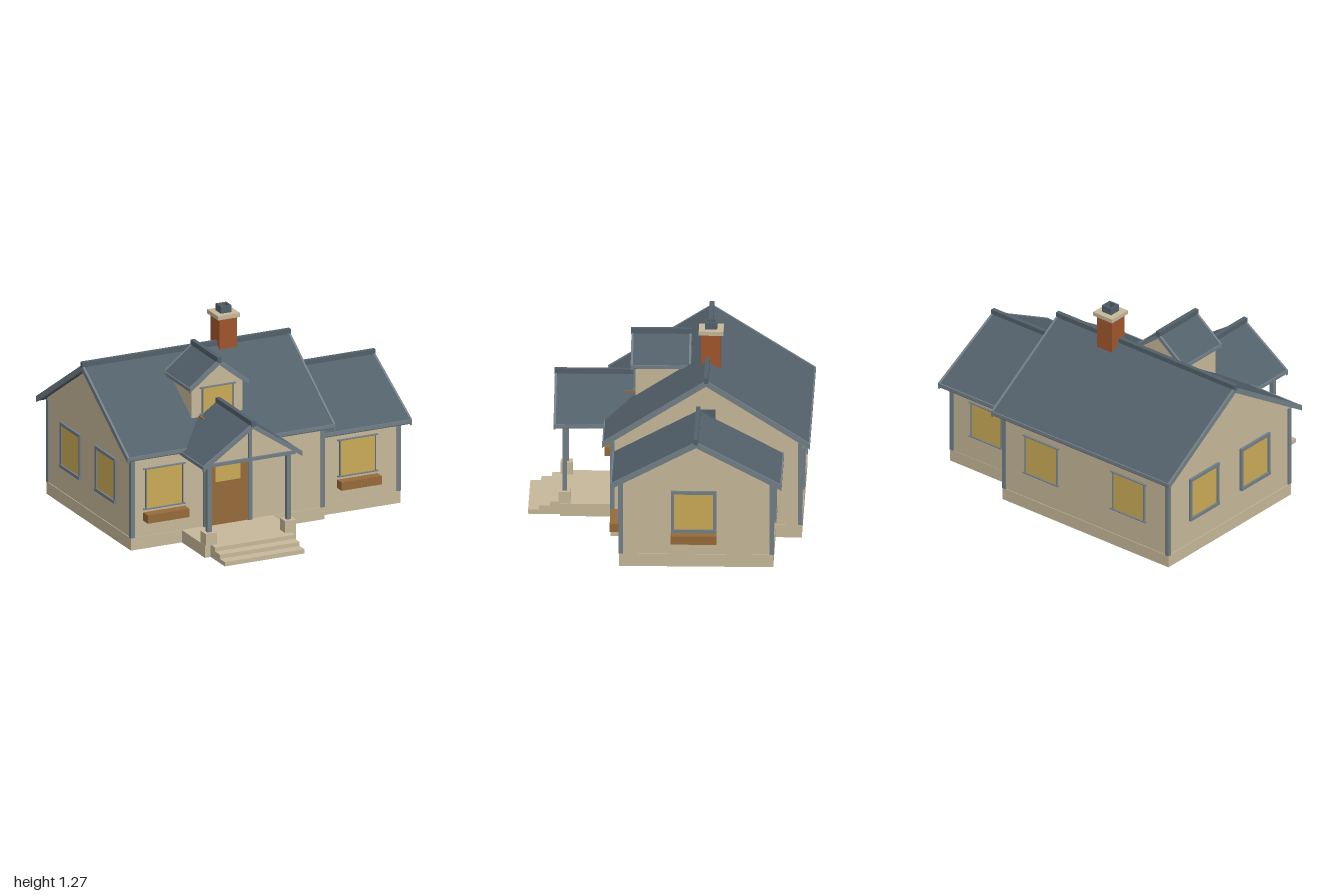
import * as THREE from 'three';

const mat = (name, color) => {
  const m = new THREE.MeshStandardMaterial({ color });
  m.name = name;
  return m;
};

export function createModel() {
  const house = new THREE.Group();
  house.name = 'cottage';
  const stucco = mat('cream stucco', 0xc5b799);
  const slate = mat('slate roof', 0x52606a);
  const trim = mat('grey trim', 0x727e86);
  const glass = mat('warm glass', 0xc9aa56);
  const wood = mat('brown wood', 0x966a38);
  const brick = mat('brick', 0xa0552b);

  const add = (name, geo, material, parent = house) => {
    const m = new THREE.Mesh(geo, material);
    m.name = name;
    parent.add(m);
    return m;
  };
  // box from min/max extents
  const box = (name, material, x0, x1, y0, y1, z0, z1, parent = house) => {
    const m = add(name, new THREE.BoxGeometry(x1 - x0, y1 - y0, z1 - z0), material, parent);
    m.position.set((x0 + x1) / 2, (y0 + y1) / 2, (z0 + z1) / 2);
    return m;
  };
  // symmetric profile extruded from a to b along 'x' or 'z', centred on c across
  const prism = (name, material, points, axis, c, a, b) => {
    const shape = new THREE.Shape(points.map(([x, y]) => new THREE.Vector2(x, y)));
    const geo = new THREE.ExtrudeGeometry(shape, { depth: b - a, bevelEnabled: false });
    geo.translate(0, 0, a);
    if (axis === 'x') geo.rotateY(Math.PI / 2).translate(0, 0, c);
    else geo.translate(c, 0, 0);
    return add(name, geo, material);
  };
  // box given along/across the ridge
  const ridgeBox = (name, material, axis, a, b, y0, y1, c0, c1) =>
    axis === 'x' ? box(name, material, a, b, y0, y1, c0, c1) : box(name, material, c0, c1, y0, y1, a, b);

  // gabled roof: slate chevron, grey rakes at chosen ends, fascias and a ridge cap
  const roof = (name, o) => {
    const { axis, c, a, b, half, eave, apex, t = 0.034, rakes, f0 = a, f1 = b } = o;
    const chevron = (h, up, low) => [
      [-h, eave + up], [-h, eave - low], [0, apex - low], [h, eave - low], [h, eave + up], [0, apex + up]];
    // keep the lower edge directly under the slope
    prism(name + 'Slopes', slate, chevron(half - 0.005, 0, t * 0.8), axis, c, a + 0.004, b - 0.004);
    for (const e of rakes) {
      prism(name + 'Rake', trim, chevron(half, 0.003, t), axis, c, e < 0 ? a : b - 0.014, e < 0 ? a + 0.014 : b);
    }
    for (const s of [-1, 1]) {
      const p = c + s * (half - 0.006);
      ridgeBox(name + 'Fascia', trim, axis, f0, f1, eave - 0.02, eave + 0.002, p - 0.006, p + 0.006);
    }
    ridgeBox(name + 'RidgeCap', slate, axis, a - 0.002, b + 0.002, apex - 0.015, apex + 0.022, c - 0.014, c + 0.014);
  };
  const walls = (name, axis, c, a, b, half, base, eave, apex) =>
    prism(name, stucco, [[-half, base], [half, base], [half, eave], [0, apex], [-half, eave]], axis, c, a, b);

  // plinth, deck and steps
  box('mainFoundation', stucco, -0.947, 0.383, 0, 0.08, -0.822, 0.357);
  box('wingFoundation', stucco, 0.38, 0.937, 0, 0.08, -0.66, 0.29);
  box('porchDeck', stucco, -0.597, 0.027, 0, 0.08, 0.35, 0.678);
  [0.74, 0.807, 0.875].forEach((z, i) =>
    box('step', stucco, -0.557, -0.01, 0, 0.08 - i * 0.026, 0.67, z));

  // walls
  walls('mainWalls', 'x', -0.233, -0.942, 0.378, 0.585, 0.08, 0.63, 1.0);
  walls('wingWalls', 'x', -0.185, 0.37, 0.932, 0.473, 0.08, 0.545, 0.8);
  walls('dormerWalls', 'z', -0.285, -0.115, 0.215, 0.175, 0.7, 0.935, 1.075);
  prism('porchGable', stucco, [[-0.3, 0.6], [0.3, 0.6], [0, 0.81]], 'z', -0.285, 0.64, 0.665);

  // roofs
  roof('mainRoof', { axis: 'x', c: -0.233, a: -0.995, b: 0.432, half: 0.64, eave: 0.625, apex: 1.03, rakes: [-1, 1] });
  roof('wingRoof', { axis: 'x', c: -0.185, a: 0.38, b: 0.99, half: 0.528, eave: 0.55, apex: 0.825, rakes: [1] });
  roof('porchRoof', { axis: 'z', c: -0.285, a: 0.05, b: 0.717, half: 0.34, eave: 0.605, apex: 0.835, t: 0.03, rakes: [1], f0: 0.36 });
  roof('dormerRoof', { axis: 'z', c: -0.285, a: -0.127, b: 0.245, half: 0.203, eave: 0.948, apex: 1.103, t: 0.028, rakes: [-1, 1] });

  // corner boards
  const corner = (x, z, top) => box('cornerBoard', trim, x - 0.014, x + 0.014, 0.08, top, z - 0.014, z + 0.014);
  for (const z of [0.347, -0.812]) for (const x of [-0.935, 0.37]) corner(x, z, 0.615);
  for (const z of [0.28, -0.65]) corner(0.923, z, 0.54);

  // porch posts, beams and king post
  for (const x of [-0.557, -0.013]) {
    box('postPier', stucco, x - 0.038, x + 0.038, 0.08, 0.157, 0.613, 0.688);
    box('porchPost', trim, x - 0.014, x + 0.014, 0.157, 0.59, 0.636, 0.664);
    box('sideBeam', trim, x - 0.012, x + 0.012, 0.583, 0.604, 0.35, 0.664);
  }
  box('frontBeam', trim, -0.595, 0.025, 0.583, 0.604, 0.636, 0.68);
  box('kingPost', trim, -0.296, -0.274, 0.6, 0.82, 0.66, 0.68);

  // door with frame
  box('door', wood, -0.425, -0.145, 0.08, 0.585, 0.345, 0.362);
  box('doorGlass', glass, -0.37, -0.2, 0.36, 0.55, 0.358, 0.366);
  for (const x of [-0.437, -0.133]) box('doorJamb', trim, x - 0.013, x + 0.013, 0.08, 0.585, 0.345, 0.372);
  box('doorLintel', trim, -0.45, -0.12, 0.585, 0.605, 0.345, 0.372);
  box('porchLamp', glass, -0.507, -0.48, 0.492, 0.53, 0.354, 0.42);

  // window facing local +z, with frame bars of width r and an optional flower box
  const window_ = (name, x, y0, z, turn, w, h, r, planter) => {
    const g = new THREE.Group();
    g.name = name;
    g.position.set(x, y0, z);
    g.rotation.y = turn;
    house.add(g);
    const k = w / 2;
    box('glass', glass, -k, k, 0, h, -0.004, 0.004, g);
    for (const s of [-1, 1]) {
      const p = s * (k + r / 2);
      box('frameSide', trim, p - r / 2, p + r / 2, 0, h, -0.004, 0.012, g);
    }
    box('frameTop', trim, -k - 0.02, k + 0.02, h, h + r, -0.004, 0.014, g);
    box('frameSill', trim, -k - 0.02, k + 0.02, -r, 0, -0.004, 0.016, g);
    if (planter) box('flowerBox', wood, -k - 0.021, k + 0.021, -0.078, -0.024, 0, planter, g);
  };
  const thin = 0.006, wide = 0.02, back = Math.PI, side = Math.PI / 2;
  window_('frontWindow', -0.718, 0.26, 0.354, 0, 0.245, 0.255, thin, 0.066);
  window_('wingFrontWindow', 0.64, 0.242, 0.29, 0, 0.235, 0.23, thin, 0.062);
  window_('wingSideWindow', 0.934, 0.242, -0.17, side, 0.24, 0.23, wide, 0.066);
  window_('wingBackWindow', 0.64, 0.242, -0.66, back, 0.235, 0.23, thin);
  for (const x of [-0.63, 0.07]) window_('backWindow', x, 0.26, -0.82, back, 0.245, 0.255, thin);
  for (const z of [-0.48, 0.01]) window_('endWindow', -0.944, 0.26, z, -side, 0.24, 0.255, wide);
  window_('dormerWindow', -0.285, 0.765, 0.217, 0, 0.205, 0.167, thin);
  box('dormerFlowerBox', wood, -0.415, -0.155, 0.7, 0.755, 0.21, 0.283);

  // gable vent above the wing
  box('gableVent', slate, 0.37, 0.386, 0.7, 0.828, -0.29, -0.18);

  // chimney with stone cap and hollow pot
  box('chimney', brick, -0.07, 0.05, 0.9, 1.2, -0.313, -0.192);
  box('chimneyCap', stucco, -0.086, 0.066, 1.2, 1.226, -0.33, -0.178);
  const ring = new THREE.Shape([[-1, -1], [1, -1], [1, 1], [-1, 1]].map(([x, y]) => new THREE.Vector2(x * 0.037, y * 0.037)));
  ring.holes.push(new THREE.Path([[-1, -1], [-1, 1], [1, 1], [1, -1]].map(([x, y]) => new THREE.Vector2(x * 0.026, y * 0.026))));
  const pot = add('chimneyPot', new THREE.ExtrudeGeometry(ring, { depth: 0.046, bevelEnabled: false }), slate);
  pot.rotation.x = -Math.PI / 2;
  pot.position.set(-0.01, 1.225, -0.254);

  return house;
}
